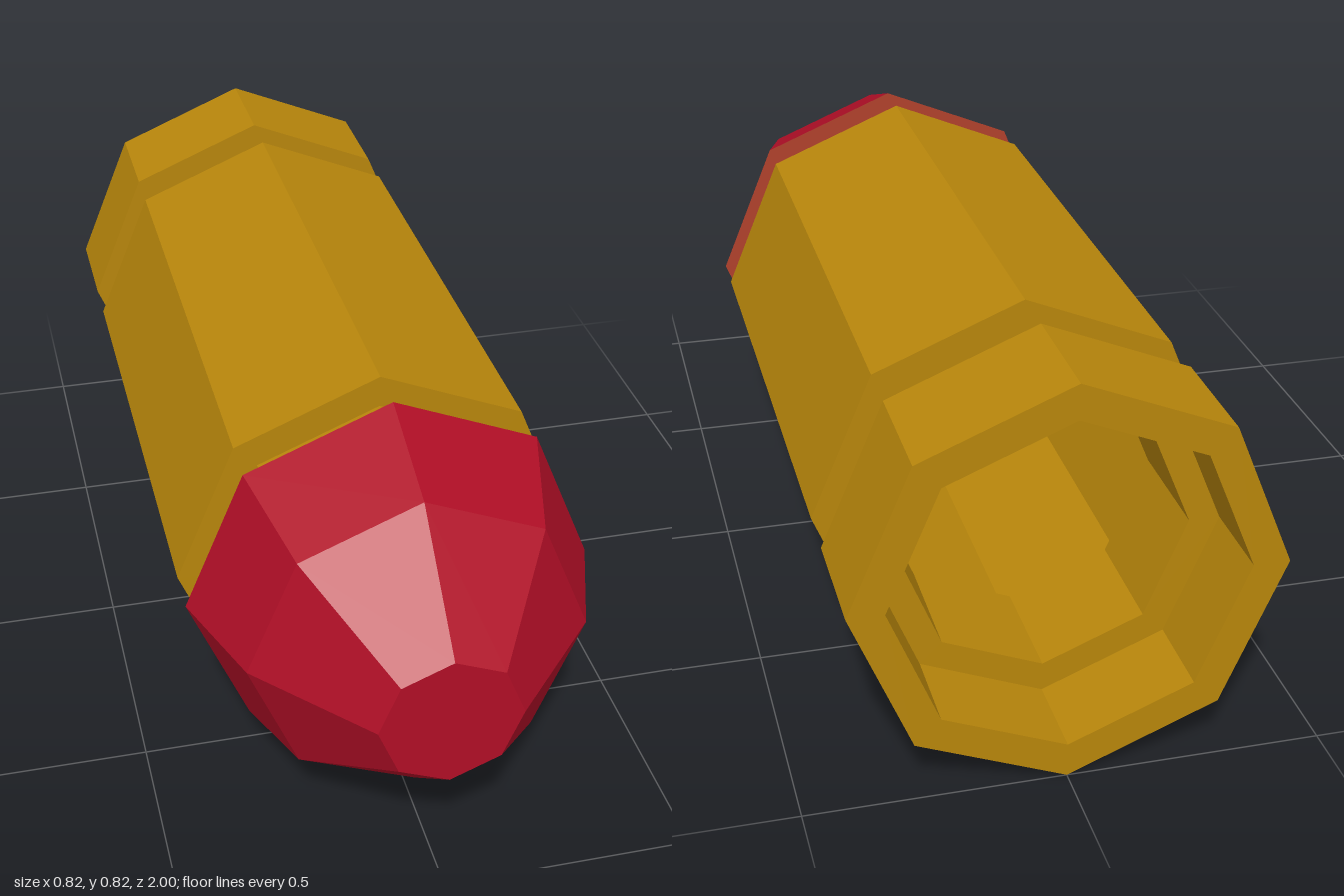
import * as THREE from 'three';

const brass = new THREE.MeshStandardMaterial({ color: 0xb8860b });
brass.name = 'brass';
const red = new THREE.MeshStandardMaterial({ color: 0xb00e26 });
red.name = 'red';
const copper = new THREE.MeshStandardMaterial({ color: 0xb0402b });
copper.name = 'copper';

const SIDES = 8;
const R = 0.41;       // outer radius
const GROOVE = 0.345; // radius of the grooves
const BORE = 0.34;    // inner radius of the wide sections
const RIDGE = 0.28;   // inner radius behind the grooves

// Faceted octagonal surface of revolution about z; points are [radius, z]
function turned(name, points, material) {
  const profile = points.map(([r, z]) => new THREE.Vector2(r, z));
  const geometry = new THREE.LatheGeometry(profile, SIDES).toNonIndexed();
  geometry.rotateX(Math.PI / 2);
  geometry.computeVertexNormals();
  const mesh = new THREE.Mesh(geometry, material);
  mesh.name = name;
  mesh.position.y = R;
  return mesh;
}

export function createModel() {
  const model = new THREE.Group();
  model.name = 'cartridge';

  // Hollow case: rear rim, extractor groove, body and neck
  model.add(turned('caseOuter', [
    [BORE, -1], [R, -1], [R, -0.76], [GROOVE, -0.76],
    [GROOVE, -0.655], [R, -0.655], [R, 0.463], [GROOVE, 0.463], [GROOVE, 0.53],
  ], brass));
  model.add(turned('caseInner', [
    [RIDGE, 0.62], [RIDGE, 0.4], [BORE, 0.4], [BORE, -0.59],
    [RIDGE, -0.59], [RIDGE, -0.826], [BORE, -0.826], [BORE, -1],
  ], brass));

  // Transition between neck and tip
  model.add(turned('tipShoulder', [
    [GROOVE, 0.53], [GROOVE, 0.557], [R, 0.557],
  ], copper));

  // Blunt tip and its hollow inside
  model.add(turned('tipOuter', [
    [R, 0.557], [0.333, 0.78], [0.138, 1], [0, 1],
  ], red));
  model.add(turned('tipInner', [
    [0, 0.935], [0.1, 0.935], [0.28, 0.755], [0.33, 0.62], [RIDGE, 0.62],
  ], red));

  return model;
}
